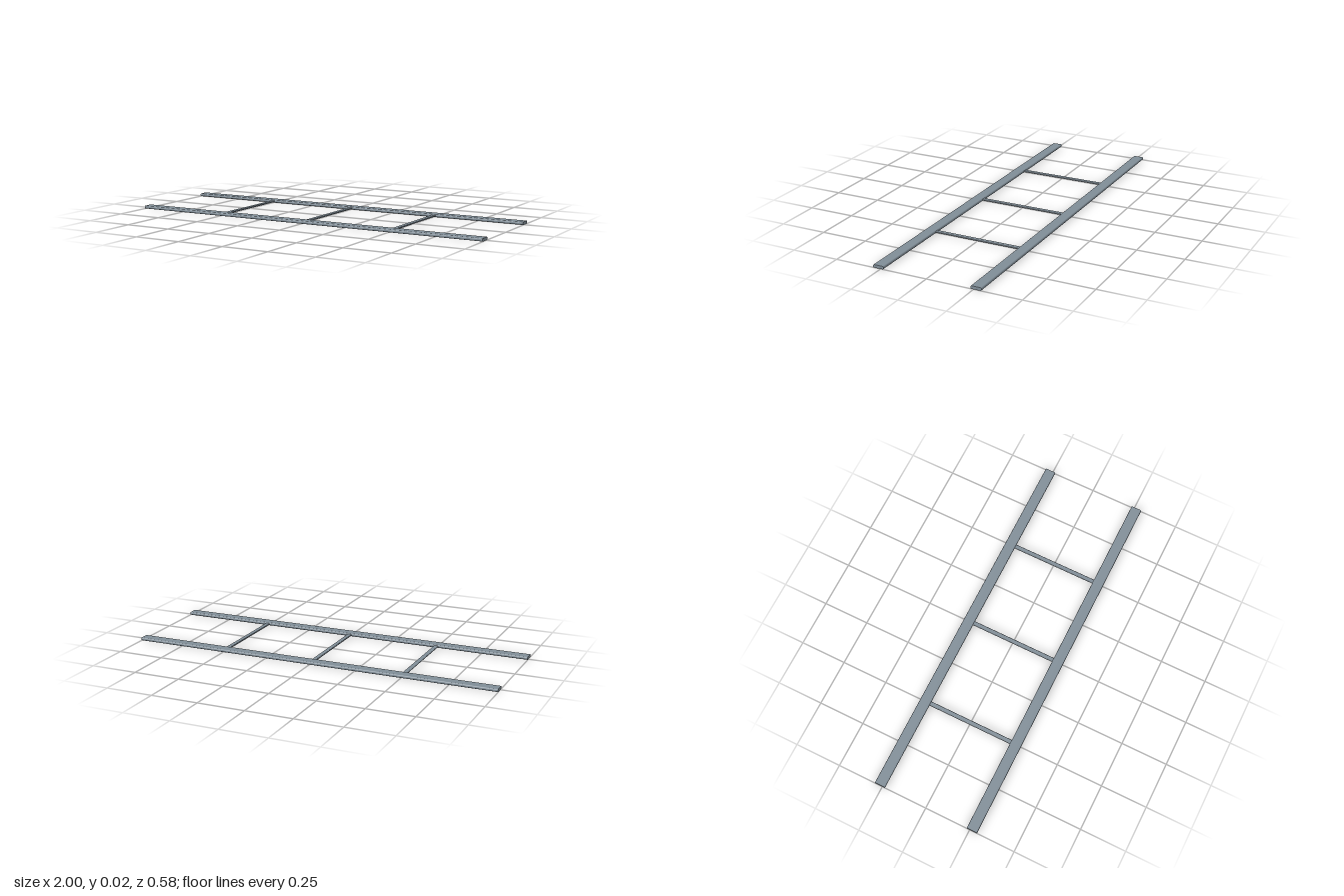
import * as THREE from 'three';

// Bar with a rounded rectangular section, running along z and centred on the origin
function roundedBar(width, height, radius, length) {
  const w = width / 2, h = height / 2, r = radius;
  const s = new THREE.Shape();
  s.moveTo(-w + r, -h);
  s.lineTo(w - r, -h);
  s.absarc(w - r, -h + r, r, -Math.PI / 2, 0);
  s.absarc(w - r, h - r, r, 0, Math.PI / 2);
  s.absarc(-w + r, h - r, r, Math.PI / 2, Math.PI);
  s.absarc(-w + r, -h + r, r, Math.PI, Math.PI * 1.5);
  const g = new THREE.ExtrudeGeometry(s, { depth: length, bevelEnabled: false, curveSegments: 6 });
  return g.translate(0, 0, -length / 2);
}

export function createModel() {
  const model = new THREE.Group();
  model.name = 'ladder';
  const steel = new THREE.MeshStandardMaterial({ color: 0x808d97 });
  steel.name = 'blue grey metal';

  const height = 0.016;

  // Two long side rails
  const railGeometry = roundedBar(0.058, height, 0.0065, 2).rotateY(Math.PI / 2);
  for (const side of [-1, 1]) {
    const rail = new THREE.Mesh(railGeometry, steel);
    rail.name = side > 0 ? 'frontRail' : 'backRail';
    rail.position.set(0, height / 2, side * 0.263);
    model.add(rail);
  }

  // Three flattened rungs, let slightly into the rails
  const rungGeometry = roundedBar(0.024, 0.008, 0.0038, 0.48);
  [-0.5, 0, 0.5].forEach((x, i) => {
    const rung = new THREE.Mesh(rungGeometry, steel);
    rung.name = 'rung' + (i + 1);
    rung.position.set(x, height / 2, 0);
    model.add(rung);
  });

  return model;
}
